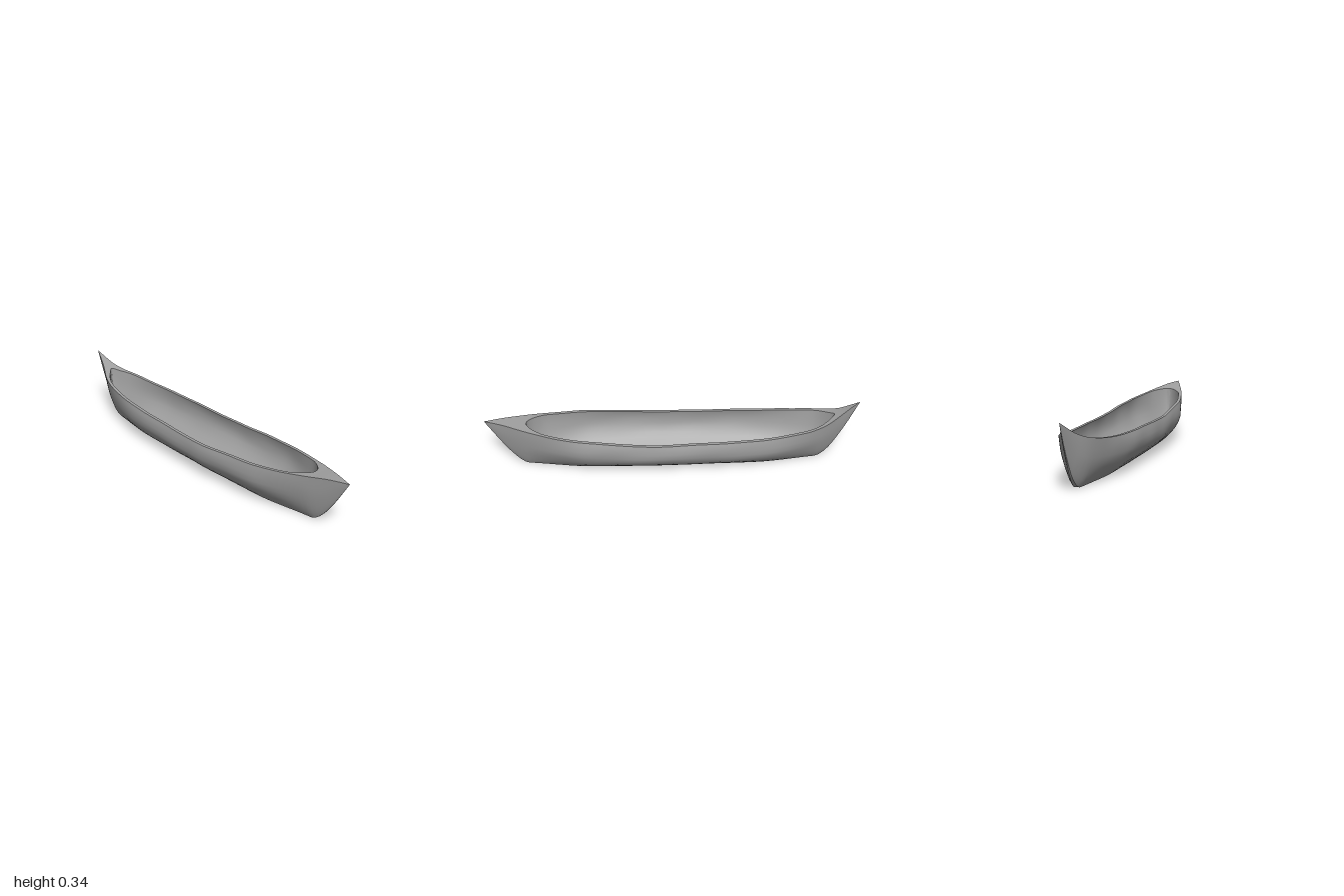
import * as THREE from 'three';
import { toCreasedNormals } from 'three/addons/utils/BufferGeometryUtils.js';

// Hull lines along the length, as [x, value]
const sheerLine = [[-1, 0.345], [-0.95, 0.315], [-0.9, 0.284], [-0.83, 0.254], [-0.7, 0.23], [-0.5, 0.214],
  [-0.2, 0.206], [0.1, 0.203], [0.3, 0.216], [0.6, 0.236], [0.8, 0.259], [0.9, 0.271], [1, 0.275]];
const keelLine = [[-1, 0.345], [-0.95, 0.23], [-0.9, 0.13], [-0.85, 0.05], [-0.8, 0.006], [-0.75, 0],
  [0.75, 0], [0.8, 0.006], [0.85, 0.05], [0.9, 0.115], [0.95, 0.193], [1, 0.275]];
const beamLine = [[-1, 0], [-0.95, 0.016], [-0.9, 0.035], [-0.8, 0.086], [-0.7, 0.118], [-0.45, 0.156], [0, 0.174],
  [0.12, 0.177], [0.45, 0.16], [0.6, 0.132], [0.75, 0.088], [0.9, 0.034], [1, 0]];

// Half sections as [height, width amidships, width at the ends], from rim to keel
const section = [[1, 0.95, 1], [0.9, 0.985, 0.95], [0.75, 1, 0.87], [0.6, 0.985, 0.77], [0.48, 0.93, 0.67],
  [0.35, 0.83, 0.55], [0.24, 0.71, 0.43], [0.13, 0.56, 0.31], [0.05, 0.44, 0.18], [0, 0.36, 0.08], [0, 0, 0]];

const OPEN_START = -0.87, OPEN_END = 0.78, WALL = 0.018, FLOOR = 0.012;

// Smooth curve through the points of a line
function sample(line, x) {
  let i = 0;
  while (i < line.length - 2 && x > line[i + 1][0]) i++;
  const slope = (a, b) => (line[b][1] - line[a][1]) / (line[b][0] - line[a][0]);
  const m0 = slope(Math.max(i - 1, 0), i + 1);
  const m1 = slope(i, Math.min(i + 2, line.length - 1));
  const [x0, y0] = line[i], [x1, y1] = line[i + 1];
  const h = x1 - x0, t = (x - x0) / h, t2 = t * t, t3 = t2 * t;
  return Math.max(0, (2 * t3 - 3 * t2 + 1) * y0 + (t3 - 2 * t2 + t) * h * m0
    + (3 * t2 - 2 * t3) * y1 + (t3 - t2) * h * m1);
}

// One full section, from one rim round the keel to the other rim
function sectionPoints(x, beam, low, top, side) {
  const end = THREE.MathUtils.smoothstep(Math.abs(x), 0.45, 0.95);
  const half = section.map(([f, mid, tip]) => [
    low + (top - low) * f,
    beam * THREE.MathUtils.lerp(mid, tip, end),
  ]);
  // gentle hand-hewn unevenness
  const hew = (y, s) => 1 + 0.012 * Math.sin(x * 17 + y * 21 + s) * Math.sin(x * 7 - y * 33);
  const first = half.map(([y, z]) => new THREE.Vector3(x, y, side * z * hew(y, side)));
  const second = half.slice(0, -1).reverse().map(([y, z]) => new THREE.Vector3(x, y, -side * z * hew(y, -side)));
  return [...first, ...second];
}

function outerSection(x) {
  const top = sample(sheerLine, x);
  return sectionPoints(x, sample(beamLine, x), Math.min(sample(keelLine, x), top), top, 1);
}

// The hollow closes to a line on the centre of the end decks
function innerSection(x) {
  const top = sample(sheerLine, x);
  const gap = Math.max(0, Math.min(x - OPEN_START, OPEN_END - x));
  const u = Math.min(1, gap / 0.11), v = Math.min(1, gap / 0.07);
  const beam = Math.max(0, sample(beamLine, x) - WALL) * Math.sqrt(1 - (1 - u) ** 2);
  const low = THREE.MathUtils.lerp(top, sample(keelLine, x) + FLOOR, Math.sqrt(1 - (1 - v) ** 2));
  return sectionPoints(x, beam, low, top, -1);
}

// Skin a row of sections
function loft(rows) {
  const n = rows[0].length;
  const index = [];
  for (let i = 0; i < rows.length - 1; i++) {
    for (let j = 0; j < n - 1; j++) {
      const a = i * n + j, b = a + 1, c = a + n, d = c + 1;
      index.push(a, b, c, b, d, c);
    }
  }
  const geometry = new THREE.BufferGeometry().setFromPoints(rows.flat());
  geometry.setIndex(index);
  return toCreasedNormals(geometry, 0.6);
}

export function createModel() {
  const group = new THREE.Group();
  group.name = 'canoe';
  const wood = new THREE.MeshStandardMaterial({ color: 0xa0a0a0 });
  wood.name = 'grey wood';

  // Stations, closer together where the hollow ends
  const stations = [];
  for (let i = 0; i <= 80; i++) stations.push(-1 + i / 40);
  for (const s of [0, 0.002, 0.006, 0.012, 0.02, 0.035, 0.06, 0.085]) stations.push(OPEN_START + s, OPEN_END - s);
  const xs = [...new Set(stations.map((x) => +x.toFixed(4)))].sort((a, b) => a - b);

  const outer = xs.map(outerSection), inner = xs.map(innerSection);
  const last = outer[0].length - 1;
  const add = (name, rows) => {
    const mesh = new THREE.Mesh(loft(rows), wood);
    mesh.name = name;
    group.add(mesh);
  };

  add('outerHull', outer);
  // Inside of the hollow, only between the end decks
  add('innerHull', inner.filter((_, i) => xs[i] >= OPEN_START && xs[i] <= OPEN_END));
  // Gunwales, widening into the decks at bow and stern
  add('leftGunwaleAndDeck', xs.map((_, i) => [inner[i][last], outer[i][0]]));
  add('rightGunwaleAndDeck', xs.map((_, i) => [outer[i][last], inner[i][0]]));
  return group;
}
